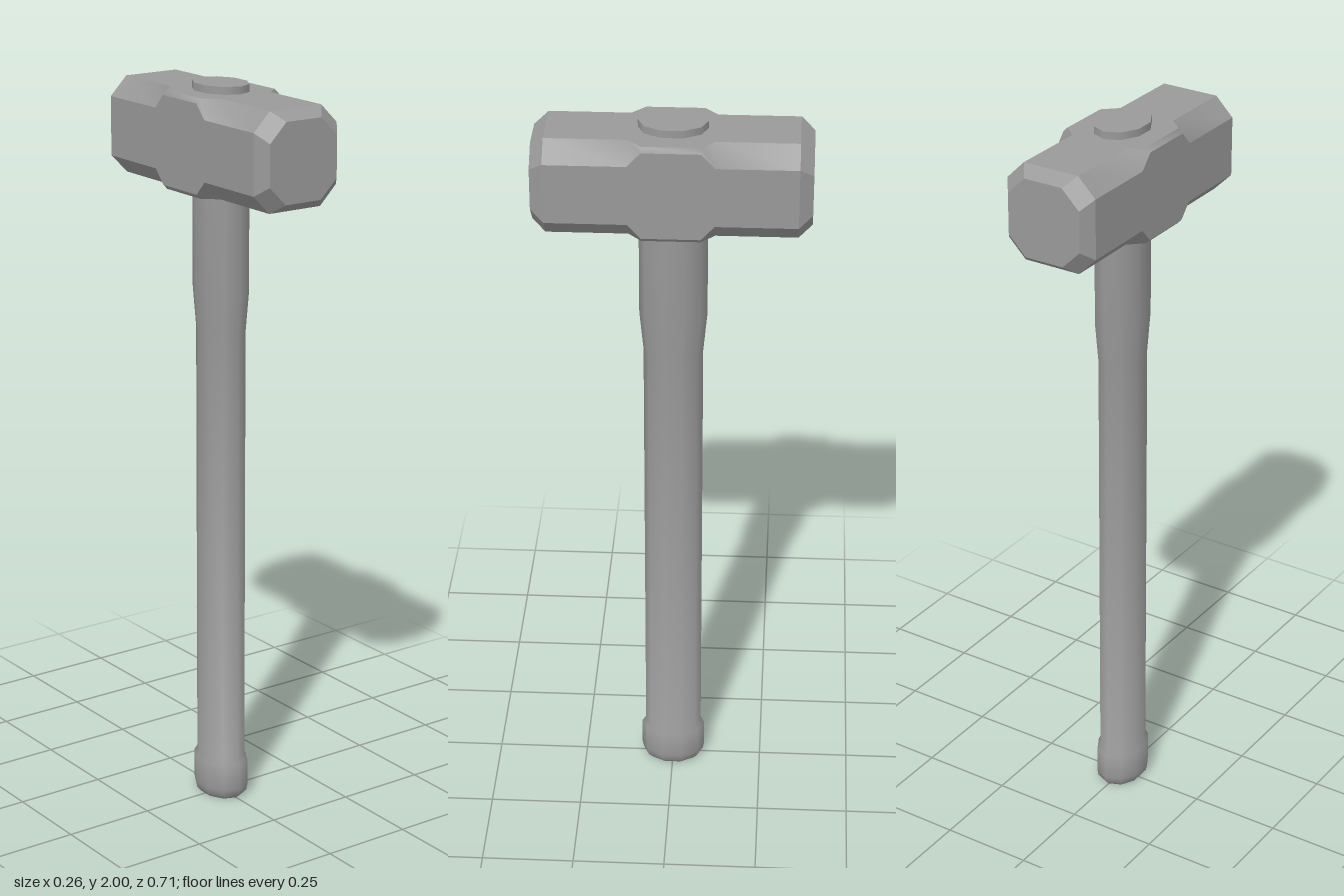
import * as THREE from 'three';
import { toCreasedNormals } from 'three/addons/utils/BufferGeometryUtils.js';

const HEAD_Y = 1.85;
const STEEL = new THREE.MeshStandardMaterial({ color: 0x999999 });
const WOOD = new THREE.MeshStandardMaterial({ color: 0x999999 });

// Square cross-section with cut corners: half = half width, flat = half length of each side
function octagon([z, half, flat]) {
  return [[half, -flat], [half, flat], [flat, half], [-flat, half],
    [-half, flat], [-half, -flat], [-flat, -half], [flat, -half]].map(([x, y]) => [x, y, z]);
}

// Surface through a row of [z, half, flat] sections running towards +z
function loft(sections, creaseDegrees) {
  const rings = sections.map(octagon);
  const pos = [];
  for (let i = 0; i < rings.length - 1; i++) {
    const a = rings[i], b = rings[i + 1];
    for (let j = 0; j < 8; j++) {
      const k = (j + 1) % 8;
      pos.push(...a[j], ...a[k], ...b[k], ...a[j], ...b[k], ...b[j]);
    }
  }
  const geo = new THREE.BufferGeometry();
  geo.setAttribute('position', new THREE.Float32BufferAttribute(pos, 3));
  return toCreasedNormals(geo, THREE.MathUtils.degToRad(creaseDegrees));
}

export function createModel() {
  const group = new THREE.Group();

  const head = new THREE.Group();
  head.name = 'hammerHead';
  head.position.y = HEAD_Y;
  group.add(head);

  // Head body: cut corners that swell smoothly into a fuller block around the handle
  const half = [[0.075, 0.13, 0.118], [0.11, 0.13, 0.08], [0.32, 0.13, 0.08]];
  const mirrored = half.map(([z, h, f]) => [-z, h, f]).reverse();
  const body = new THREE.Mesh(loft([...mirrored, ...half], 42), STEEL);
  body.name = 'headBody';
  head.add(body);

  // Striking faces: crisp bevel closing to a flat end
  const faceGeometry = loft([[0.32, 0.13, 0.08], [0.355, 0.105, 0.055], [0.355, 0, 0]], 20);
  for (const [name, turn] of [['frontFace', 0], ['backFace', Math.PI]]) {
    const face = new THREE.Mesh(faceGeometry, STEEL);
    face.name = name;
    face.rotation.y = turn;
    head.add(face);
  }

  // Handle: ten-sided oval shaft with a flared top and a rounded end grip
  const profile = [[0, 0], [0.056, 0], [0.065, 0.012], [0.068, 0.03], [0.068, 0.105],
    [0.06, 0.12], [0.06, 1.34], [0.068, 1.45], [0.068, 2], [0, 2]]
    .map(([r, y]) => new THREE.Vector2(r, y));
  const shaft = new THREE.LatheGeometry(profile, 10);
  shaft.scale(1, 1, 1.31);
  const handle = new THREE.Mesh(toCreasedNormals(shaft, THREE.MathUtils.degToRad(55)), WOOD);
  handle.name = 'handle';
  group.add(handle);

  return group;
}
